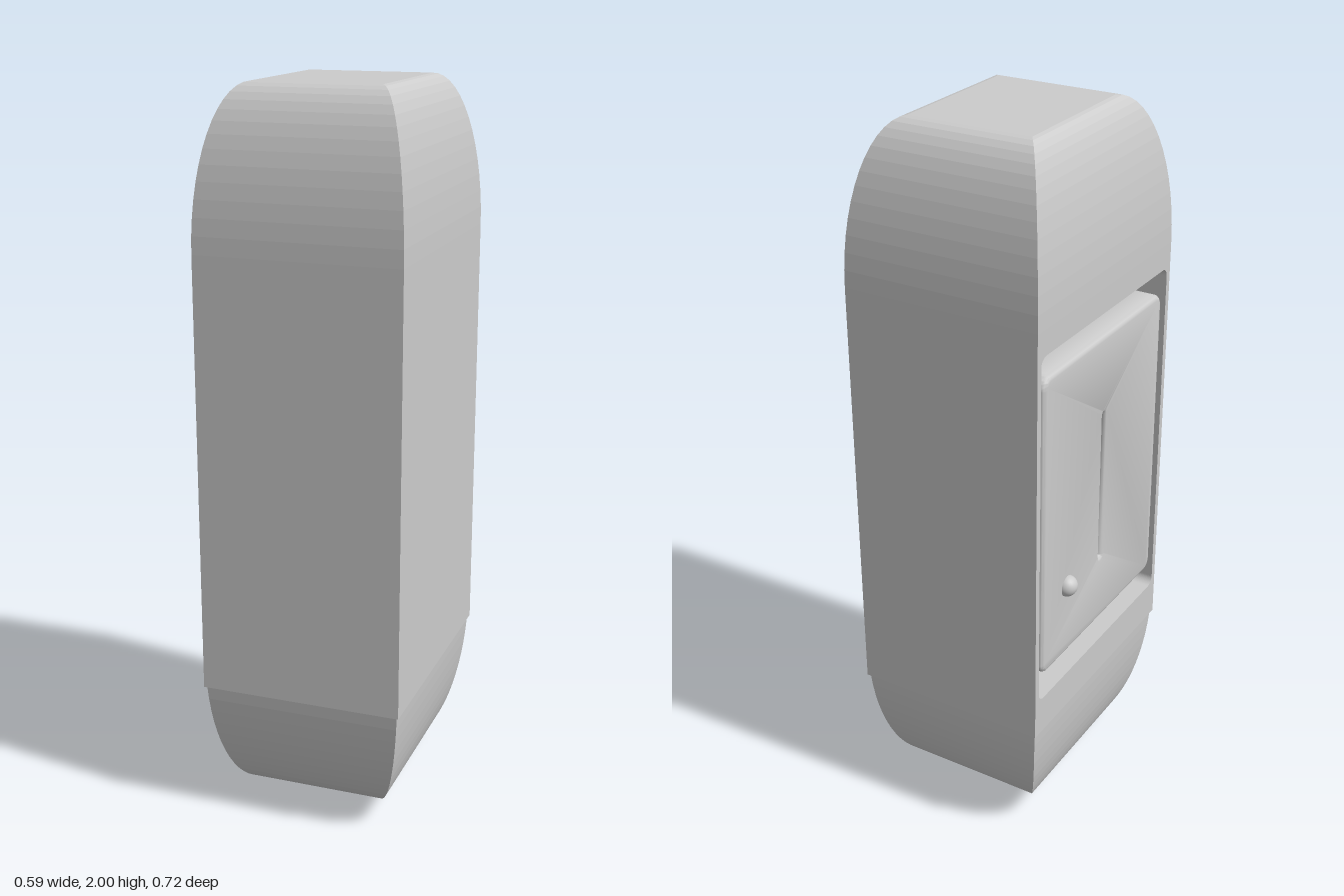
import * as THREE from 'three';
import { toCreasedNormals } from 'three/addons/utils/BufferGeometryUtils.js';

const CX = 0.012;            // body centre in x (the knob sticks out on -x)
const HX = 0.28, HZ = 0.358; // body half sizes
const LOW = 0.38, HIGH = 1.58; // straight part of the casing
const FACE = CX - HX;        // x of the door side
const DEPTH = 0.12;          // depth of the door recess

const flat = new THREE.MeshStandardMaterial({ color: 0xcccccc, flatShading: true });
const smooth = new THREE.MeshStandardMaterial({ color: 0xcccccc });

// Stack of rectangles [y, halfX, halfZ], ordered upward and closed at both ends
function loftRects(rings) {
  const pos = [], idx = [];
  for (const [y, hx, hz] of rings) {
    pos.push(-hx, y, hz, hx, y, hz, hx, y, -hz, -hx, y, -hz);
  }
  for (let i = 0; i < rings.length - 1; i++) {
    for (let k = 0; k < 4; k++) {
      const a = i * 4 + k, b = i * 4 + (k + 1) % 4;
      idx.push(a, b, b + 4, a, b + 4, a + 4);
    }
  }
  const t = (rings.length - 1) * 4;
  idx.push(0, 2, 1, 0, 3, 2, t, t + 1, t + 2, t, t + 2, t + 3);
  const g = new THREE.BufferGeometry();
  g.setAttribute('position', new THREE.Float32BufferAttribute(pos, 3));
  g.setIndex(idx);
  const out = g.toNonIndexed();
  out.computeVertexNormals();
  return out;
}

// Rounded rectangle drawn in the (z, y) plane of the door side
function roundRect(target, halfW, y0, y1, r) {
  target.moveTo(-halfW + r, y0);
  target.lineTo(halfW - r, y0);
  target.absarc(halfW - r, y0 + r, r, -Math.PI / 2, 0);
  target.lineTo(halfW, y1 - r);
  target.absarc(halfW - r, y1 - r, r, 0, Math.PI / 2);
  target.lineTo(-halfW + r, y1);
  target.absarc(-halfW + r, y1 - r, r, Math.PI / 2, Math.PI);
  target.lineTo(-halfW, y0 + r);
  target.absarc(-halfW + r, y0 + r, r, Math.PI, Math.PI * 1.5);
  return target;
}

export function createModel() {
  const group = new THREE.Group();
  const add = (name, geometry, material, x, y, z) => {
    const mesh = new THREE.Mesh(geometry, material);
    mesh.name = name;
    mesh.position.set(x, y, z);
    group.add(mesh);
    return mesh;
  };

  // Quarter-ellipse shoulders of the top and the bottom cap
  const N = 14, top = [], bottom = [];
  for (let i = 0; i <= N; i++) {
    const a = (i / N) * Math.PI / 2;
    const inset = 1 - Math.cos(a);
    top.push([HIGH + (2 - HIGH) * Math.sin(a), HX - 0.105 * inset, HZ - 0.15 * inset]);
    // the cap starts a little way down its ellipse, leaving a small step
    const b = 0.2 + (i / N) * (Math.PI / 2 - 0.2);
    const s = (Math.sin(b) - Math.sin(0.2)) / (1 - Math.sin(0.2));
    const cap = 1 - Math.cos(b);
    bottom.unshift([LOW - (LOW - 0.045) * s, HX - 0.004 - 0.105 * cap, HZ - 0.004 - 0.16 * cap]);
  }
  add('topCap', loftRects(top), flat, CX, 0, 0);
  add('bottomCap', loftRects(bottom), flat, CX, 0, 0);

  // Straight casing: solid block plus a wall with the door opening
  const midY = (LOW + HIGH) / 2;
  add('casing', new THREE.BoxGeometry(2 * HX - DEPTH, HIGH - LOW, 2 * HZ), flat,
    CX + DEPTH / 2, midY, 0);
  const wall = new THREE.Shape();
  wall.moveTo(-HZ, LOW);
  wall.lineTo(HZ, LOW);
  wall.lineTo(HZ, HIGH);
  wall.lineTo(-HZ, HIGH);
  wall.holes.push(roundRect(new THREE.Path(), 0.34, 0.49, 1.51, 0.025));
  const wallGeo = new THREE.ExtrudeGeometry(wall, { depth: DEPTH, bevelEnabled: false, curveSegments: 6 });
  add('doorFrame', wallGeo.rotateY(-Math.PI / 2), flat, FACE + DEPTH, 0, 0);

  // Door with softened edges and a vertical grip slot
  const bevel = 0.015;
  const panel = roundRect(new THREE.Shape(), 0.322, 0.56, 1.445, 0.035);
  panel.holes.push(roundRect(new THREE.Path(), 0.004, 0.77, 1.215, 0.0039));
  const doorGeo = new THREE.ExtrudeGeometry(panel, {
    depth: DEPTH - 2 * bevel, bevelThickness: bevel, bevelSize: bevel,
    bevelOffset: -bevel, bevelSegments: 4, curveSegments: 6,
  }).rotateY(-Math.PI / 2);
  add('door', toCreasedNormals(doorGeo, 0.6), smooth, FACE + DEPTH - bevel + 0.002, 0, 0);
  add('gripSlotFloor', new THREE.BoxGeometry(0.02, 0.5, 0.06), flat, FACE + 0.027, 0.9925, 0);

  // Door knob
  add('knob', new THREE.SphereGeometry(0.03, 24, 16), smooth, FACE + 0.003, 0.78, -0.188);

  // Small nubs under the bottom cap
  const nub = new THREE.SphereGeometry(1, 20, 14);
  add('bottomNubLong', nub, smooth, -0.09, 0.03, 0).scale.set(0.018, 0.03, 0.018);
  add('bottomNubShort', nub, smooth, -0.11, 0.045, -0.076).scale.set(0.02, 0.02, 0.025);

  return group;
}
